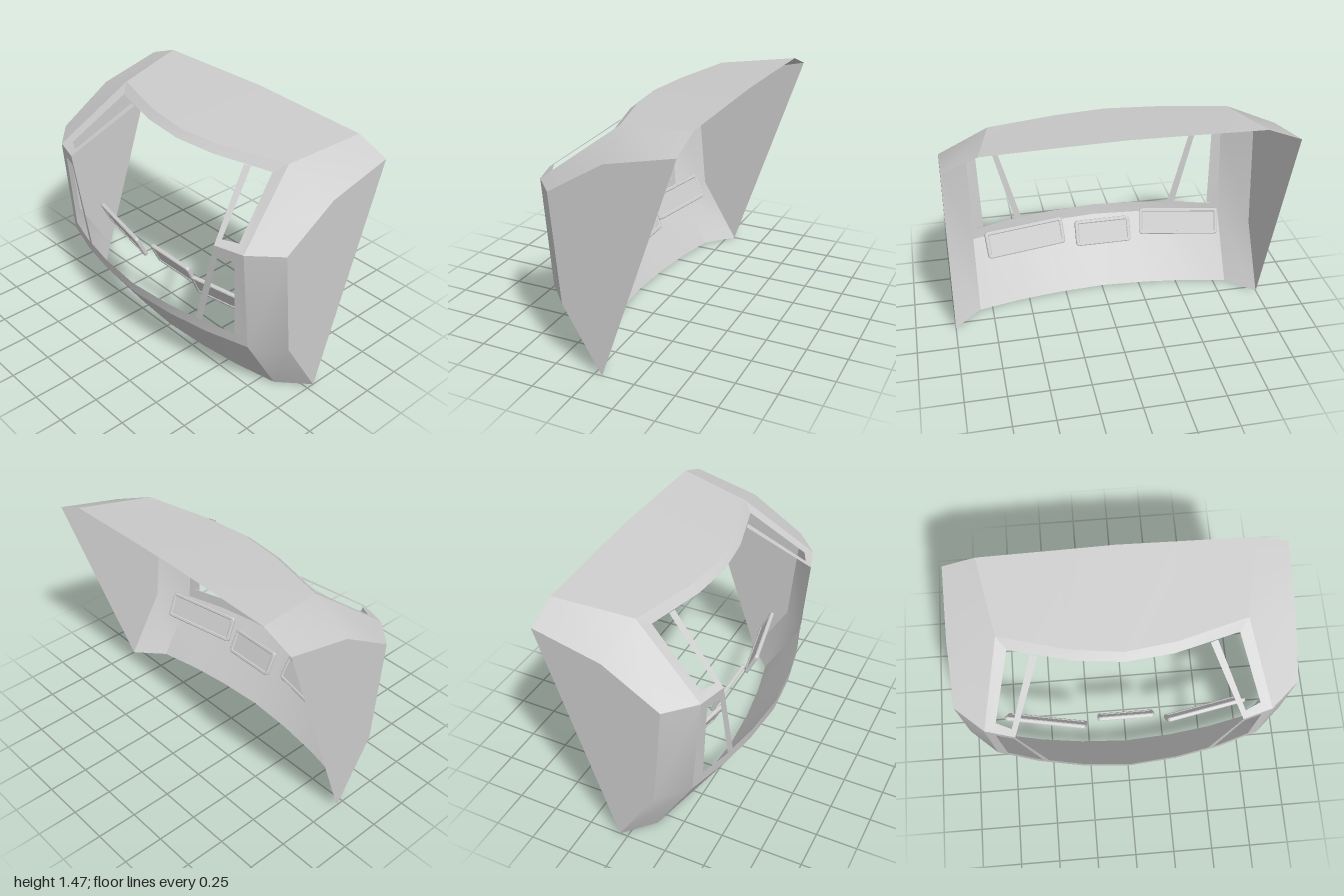
import * as THREE from 'three';
import { toCreasedNormals } from 'three/addons/utils/BufferGeometryUtils.js';

const shellMat = new THREE.MeshStandardMaterial({ color: 0xcccccc, side: THREE.DoubleSide });
const solidMat = new THREE.MeshStandardMaterial({ color: 0xcccccc });

// Sheet lofted through rows of points; each row has the same number of points.
function sheet(name, rows, crease = 0.45) {
  const cols = rows[0].length, index = [];
  for (let r = 0; r < rows.length - 1; r++) {
    for (let c = 0; c < cols - 1; c++) {
      const a = r * cols + c, b = a + 1, d = a + cols, e = d + 1;
      index.push(a, d, b, b, d, e);
    }
  }
  const geo = new THREE.BufferGeometry();
  geo.setAttribute('position', new THREE.Float32BufferAttribute(rows.flat(2), 3));
  geo.setIndex(index);
  const mesh = new THREE.Mesh(toCreasedNormals(geo, crease), shellMat);
  mesh.name = name;
  return mesh;
}

// Turns a half row (centre to left) into a full row, right to left.
const mirrorRow = (half) => [
  ...half.slice(1).reverse().map(([x, y, z]) => [-x, y, z]),
  ...half,
];

// Same rows on the other side; reversing the rows keeps the faces outward.
const toSide = (rows, side) =>
  side > 0 ? rows : rows.map((row) => row.map(([x, y, z]) => [-x, y, z])).reverse();

function roundedRect(target, w, h, r) {
  const x = w / 2, y = h / 2;
  target.moveTo(-x + r, -y);
  target.lineTo(x - r, -y);
  target.quadraticCurveTo(x, -y, x, -y + r);
  target.lineTo(x, y - r);
  target.quadraticCurveTo(x, y, x - r, y);
  target.lineTo(-x + r, y);
  target.quadraticCurveTo(-x, y, -x, y - r);
  target.lineTo(-x, -y + r);
  target.quadraticCurveTo(-x, -y, -x + r, -y);
  return target;
}

// Display: bevelled rim around a slightly recessed panel.
function display(name, width, height) {
  const group = new THREE.Group();
  group.name = name;
  const depth = 0.016, bevel = 0.005;
  const shape = roundedRect(new THREE.Shape(), width - 2 * bevel, height - 2 * bevel, 0.018);
  shape.holes.push(roundedRect(new THREE.Path(), width - 0.036, height - 0.036, 0.01));
  const rimGeo = new THREE.ExtrudeGeometry(shape, {
    depth, bevelThickness: bevel, bevelSize: bevel, bevelSegments: 1, curveSegments: 4,
  });
  rimGeo.translate(0, 0, -depth / 2);
  const rim = new THREE.Mesh(rimGeo, solidMat);
  rim.name = 'displayRim';
  const panel = new THREE.Mesh(new THREE.BoxGeometry(width - 0.03, height - 0.03, 0.014), solidMat);
  panel.name = 'displayPanel';
  group.add(rim, panel);
  group.rotation.order = 'YXZ';
  group.rotation.x = 0.45;
  return group;
}

export function createModel() {
  const model = new THREE.Group();
  model.name = 'cockpitFront';

  // Roof, bowed forward at the front edge
  const roofFront = mirrorRow([[0, 1.37, 0.105], [0.3, 1.373, 0.068], [0.71, 1.385, -0.04]]);
  const roofBack = mirrorRow([[0, 1.465, -0.51], [0.34, 1.457, -0.507], [0.8, 1.445, -0.505]]);
  model.add(sheet('roof', [roofBack, roofFront]));

  // Lip under the roof's front edge, above the windscreen
  const lip = mirrorRow([[0, 1.332, 0.15], [0.28, 1.333, 0.122], [0.655, 1.337, 0.025]]);
  model.add(sheet('windscreenLip', [roofFront, lip]));

  // Nose apron: sill strip above, sloping panel below
  const sill = mirrorRow([[0, 0.47, 0.51], [0.3, 0.47, 0.483], [0.57, 0.47, 0.43], [0.83, 0.47, 0.351]]);
  const brow = mirrorRow([[0, 0.4, 0.5], [0.3, 0.4, 0.475], [0.57, 0.4, 0.424], [0.83, 0.4, 0.345]]);
  const base = mirrorRow([[0, 0, 0.22], [0.3, 0, 0.202], [0.57, 0, 0.166], [0.83, 0, 0.11]]);
  model.add(sheet('windowSill', [sill, brow]));
  model.add(sheet('noseApron', [brow, base]));

  // Side profile, and the inner line its chamfer runs to
  const sideLine = [[1, 1.367, -0.505], [1, 1.27, -0.09], [1, 1.06, 0.25], [1, 0.4, 0.19], [1, 0, -0.05]];
  const innerLine = [[0.8, 1.445, -0.505], [0.71, 1.385, -0.04], [0.83, 1.05, 0.4], [0.83, 0.4, 0.345], [0.83, 0, 0.11]];

  // Corner window frames: outer edge and opening edge
  const upperFrame = [
    [[0.71, 1.385, -0.04], [0.83, 1.05, 0.4], [0.655, 1.05, 0.45], [0.484, 1.335, 0.075]],
    [[0.655, 1.337, 0.025], [0.76, 1.077, 0.365], [0.67, 1.077, 0.407], [0.527, 1.336, 0.062]],
  ];
  const lowerFrame = [
    [[0.5, 0.47, 0.445], [0.655, 1.05, 0.45], [0.83, 1.05, 0.4], [0.83, 0.47, 0.351]],
    [[0.543, 0.47, 0.433], [0.67, 0.98, 0.437], [0.773, 0.98, 0.408], [0.757, 0.47, 0.377]],
  ];

  for (const side of [1, -1]) {
    const label = side > 0 ? 'left' : 'right';
    model.add(sheet(label + 'CornerChamfer', toSide([innerLine, sideLine], side), 0.6));
    model.add(sheet(label + 'UpperWindowFrame', toSide(upperFrame, side)));
    model.add(sheet(label + 'LowerWindowFrame', toSide(lowerFrame, side)));

    // Flat side wall filling the side profile
    const wallGeo = new THREE.ShapeGeometry(
      new THREE.Shape(sideLine.map(([, y, z]) => new THREE.Vector2(-z, y))));
    wallGeo.rotateY(Math.PI / 2);
    const wall = new THREE.Mesh(wallGeo, shellMat);
    wall.name = label + 'SideWall';
    wall.position.x = side;
    model.add(wall);

    // Outer displays turned towards the middle
    const outer = display(label + 'Display', 0.515, 0.17);
    outer.position.set(0.505 * side, 0.473, 0.184);
    outer.rotation.y = 0.19 * side;
    model.add(outer);
  }

  const middle = display('centreDisplay', 0.36, 0.165);
  middle.position.set(0, 0.46, 0.185);
  model.add(middle);

  return model;
}
